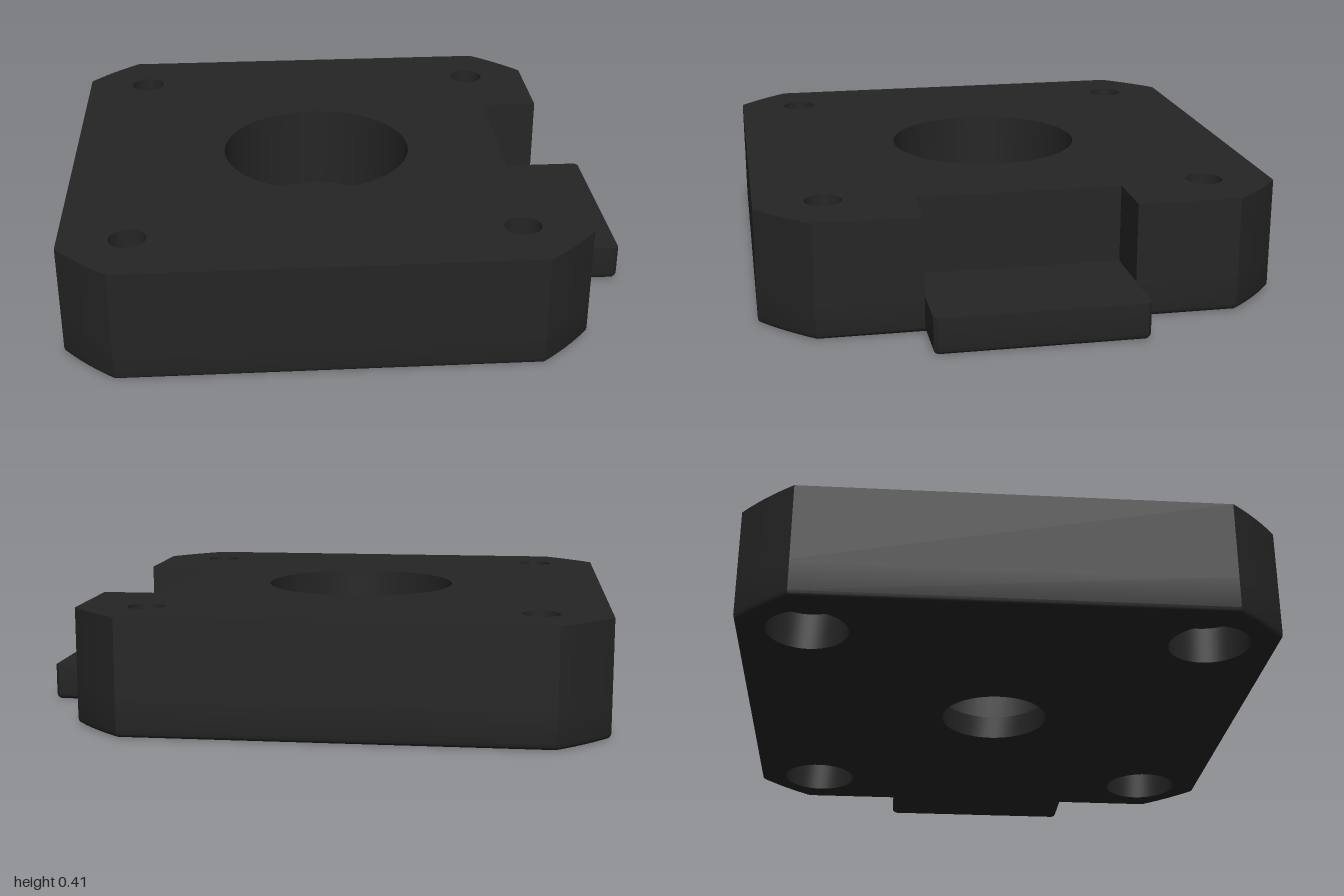
import * as THREE from 'three';
import { mergeGeometries, toCreasedNormals } from 'three/addons/utils/BufferGeometryUtils.js';

const CX = -0.0975;      // centre of the square body
const HALF = 0.9025;     // half width of the body
const CORNER_R = 1.155;  // large circle that trims the corners
const TOP = 0.405, LEDGE = 0.13, FLOOR = 0.086;
const TAB_W = 0.36, TAB_END = 1 - CX, NOTCH = 0.595 - CX;
const EDGE = 0.02;       // rounding of the bottom edge
const BOLT = 0.667;

const v = (x, y) => new THREE.Vector2(x, y);

function circle(x, y, r, n = 48) {
  return Array.from({ length: n }, (_, i) => {
    const a = (i / n) * Math.PI * 2;
    return v(x + r * Math.cos(a), y + r * Math.sin(a));
  });
}

// Square with arc-trimmed corners; the +x side is closed by the given points
function outline(sidePoints) {
  const pts = [];
  const a0 = Math.acos(HALF / CORNER_R), a1 = Math.PI / 2 - a0;
  for (let k = 0; k < 4; k++) {
    for (let i = 0; i <= 6; i++) {
      const a = a0 + (a1 - a0) * (i / 6) + k * Math.PI / 2;
      pts.push(v(CORNER_R * Math.cos(a), CORNER_R * Math.sin(a)));
    }
  }
  return pts.concat(sidePoints);
}

// Mitred inward offset of a counter-clockwise loop
function inset(loop, d) {
  const n = loop.length;
  return loop.map((p, i) => {
    const e0 = p.clone().sub(loop[(i + n - 1) % n]).normalize();
    const e1 = loop[(i + 1) % n].clone().sub(p).normalize();
    const k = d / (1 + e0.dot(e1));
    return v(p.x - (e0.y + e1.y) * k, p.y + (e0.x + e1.x) * k);
  });
}

// Wall between two matching loops; counter-clockwise loops face outward
function wall(lower, y0, upper, y1) {
  const pos = [];
  const put = (p, y) => pos.push(p.x, y, -p.y);
  lower.forEach((a, i) => {
    const j = (i + 1) % lower.length;
    put(a, y0); put(lower[j], y0); put(upper[j], y1);
    put(a, y0); put(upper[j], y1); put(upper[i], y1);
  });
  const g = new THREE.BufferGeometry();
  g.setAttribute('position', new THREE.Float32BufferAttribute(pos, 3));
  return g;
}

function bore(x, y, r, y0, y1) {
  const loop = circle(x, y, r).reverse();
  return wall(loop, y0, loop, y1);
}

// Flat face with holes, facing up or down (all faces are symmetric in z)
function cap(loop, holes, y, up) {
  const shape = new THREE.Shape(loop);
  shape.holes = holes.map((h) => new THREE.Path(h));
  const g = new THREE.ShapeGeometry(shape).toNonIndexed();
  g.rotateX(up ? -Math.PI / 2 : Math.PI / 2).translate(0, y, 0);
  g.deleteAttribute('uv');
  g.deleteAttribute('normal');
  return g;
}

export function createModel() {
  const group = new THREE.Group();
  group.name = 'mountingPlate';
  const material = new THREE.MeshStandardMaterial({ color: 0x252525 });
  const add = (name, parts) => {
    const mesh = new THREE.Mesh(toCreasedNormals(mergeGeometries(parts), 0.5), material);
    mesh.name = name;
    mesh.position.x = CX;
    group.add(mesh);
  };

  const c = 0.012;
  const lower = outline([
    v(HALF, -TAB_W), v(TAB_END - c, -TAB_W), v(TAB_END, -TAB_W + c),
    v(TAB_END, TAB_W - c), v(TAB_END - c, TAB_W), v(HALF, TAB_W),
  ]);
  const upper = outline([
    v(HALF, -TAB_W), v(NOTCH, -TAB_W), v(NOTCH, TAB_W), v(HALF, TAB_W),
  ]);
  const bolts = [[1, 1], [-1, 1], [-1, -1], [1, -1]].map(([x, y]) => [x * BOLT, y * BOLT]);
  const boltLoops = (r) => bolts.map(([x, y]) => circle(x, y, r));
  const BOLT_R = 0.064, HEAD_R = 0.137, SHAFT_R = 0.193, POCKET_R = 0.346;

  // Base with rounded bottom edge
  const base = [];
  const steps = 4;
  const ring = (i) => {
    const a = (i / steps) * Math.PI / 2;
    return [inset(lower, EDGE * (1 - Math.sin(a))), EDGE * (1 - Math.cos(a))];
  };
  for (let i = 0; i < steps; i++) base.push(wall(...ring(i), ...ring(i + 1)));
  base.push(wall(lower, EDGE, lower, LEDGE));
  base.push(cap(ring(0)[0], [circle(0, 0, SHAFT_R), ...boltLoops(HEAD_R)], 0, false));
  add('base', base);

  // Top of the tab, running into the notch
  add('tabTop', [cap([
    v(NOTCH, -TAB_W), v(TAB_END - c, -TAB_W), v(TAB_END, -TAB_W + c),
    v(TAB_END, TAB_W - c), v(TAB_END - c, TAB_W), v(NOTCH, TAB_W),
  ], [], LEDGE, true)]);

  // Upper block with the side notch
  add('upperBlock', [
    wall(upper, LEDGE, upper, TOP),
    cap(upper, [circle(0, 0, POCKET_R), ...boltLoops(BOLT_R)], TOP, true),
  ]);

  // Round pocket with a smaller through hole
  add('centrePocket', [
    bore(0, 0, POCKET_R, FLOOR, TOP),
    bore(0, 0, SHAFT_R, 0, FLOOR),
    cap(circle(0, 0, POCKET_R), [circle(0, 0, SHAFT_R)], FLOOR, true),
  ]);

  // Bolt holes, counterbored from below
  bolts.forEach(([x, y]) => add('boltHole', [
    bore(x, y, HEAD_R, 0, LEDGE),
    bore(x, y, BOLT_R, LEDGE, TOP),
    cap(circle(x, y, HEAD_R), [circle(x, y, BOLT_R)], LEDGE, false),
  ]));

  return group;
}
